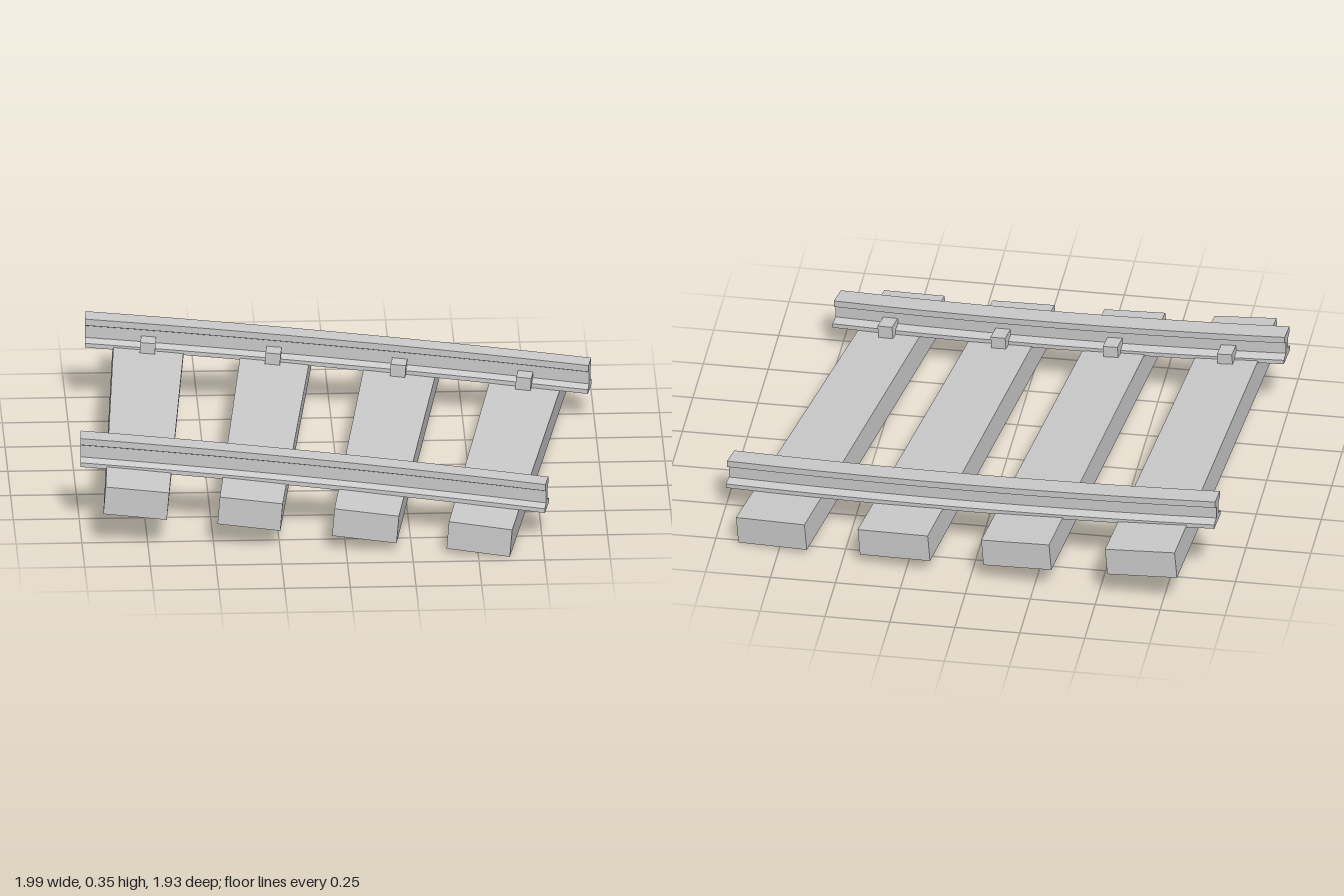
import * as THREE from 'three';

const material = new THREE.MeshStandardMaterial({ color: 0xcccccc, flatShading: true });

// Rail centre lines: end points [x, z], bowed towards -z, falling towards +x
const RAILS = {
  front: { a: [-0.995, 0.515], b: [0.77, 0.725], side: 1, pegX: [-0.77, -0.325, 0.115, 0.56] },
  back: { a: [-0.925, -0.715], b: [0.985, -0.495], side: -1, pegX: [-0.69, -0.215, 0.26, 0.735] },
};
const SAG = 0.026;

function railPoint({ a, b }, t) {
  const dx = b[0] - a[0];
  const dz = b[1] - a[1] - SAG * 4 * (1 - 2 * t);
  return {
    x: a[0] + dx * t,
    y: 0.24 - 0.135 * t,
    z: a[1] + (b[1] - a[1]) * t - SAG * 4 * t * (1 - t),
    angle: Math.atan2(dz, dx),
    slope: -0.135 / dx,
  };
}

// I-section swept along a bowed line
function makeRail(rail) {
  const half = [[0.056, 0], [0.056, 0.017], [0.02, 0.027], [0.02, 0.075], [0.041, 0.084], [0.041, 0.11]];
  const outline = [...half, ...half.map(([x, y]) => [-x, y]).reverse()];
  const shape = new THREE.Shape(outline.map(([x, y]) => new THREE.Vector2(x, y)));
  const geo = new THREE.ExtrudeGeometry(shape, { depth: 1, steps: 10, bevelEnabled: false });
  const pos = geo.attributes.position;
  for (let i = 0; i < pos.count; i++) {
    const u = pos.getX(i);
    const p = railPoint(rail, pos.getZ(i));
    pos.setXYZ(i, p.x + u * Math.sin(p.angle), p.y + pos.getY(i), p.z - u * Math.cos(p.angle));
  }
  geo.computeVertexNormals();
  return new THREE.Mesh(geo, material);
}

// Tapered, tilted beam from its plan corners: back left, back right, front right, front left
function makeSleeper([bl, br, fr, fl], base) {
  const geo = new THREE.BoxGeometry(1, 1, 1);
  const pos = geo.attributes.position;
  for (let i = 0; i < pos.count; i++) {
    const right = pos.getX(i) > 0;
    const top = pos.getY(i) > 0;
    const front = pos.getZ(i) > 0;
    const [x, z] = front ? (right ? fr : fl) : (right ? br : bl);
    const lean = right ? (top ? 0 : -0.009) : (top ? 0.009 : 0);
    pos.setXYZ(i, x + lean, base + (right ? 0 : 0.022) + (top ? 0.11 : 0), z);
  }
  geo.computeVertexNormals();
  return new THREE.Mesh(geo, material);
}

export function createModel() {
  const model = new THREE.Group();
  model.name = 'curvedTrackSection';

  // Sleepers, fanned around the curve and stepping down
  const plans = [
    [[-0.81, -0.97], [-0.53, -0.95], [-0.67, 0.8], [-0.92, 0.785]],
    [[-0.32, -0.93], [-0.045, -0.9], [-0.24, 0.84], [-0.487, 0.815]],
    [[0.155, -0.88], [0.44, -0.84], [0.2, 0.895], [-0.053, 0.863]],
    [[0.64, -0.815], [0.92, -0.767], [0.628, 0.962], [0.38, 0.922]],
  ];
  plans.forEach((plan, i) => {
    const sleeper = makeSleeper(plan, 0.109 - i * 0.0363);
    sleeper.name = `sleeper${i + 1}`;
    model.add(sleeper);
  });

  for (const [name, rail] of Object.entries(RAILS)) {
    const mesh = makeRail(rail);
    mesh.name = `${name}Rail`;
    model.add(mesh);

    // Fixing blocks on the inner foot of the rail
    rail.pegX.forEach((x, i) => {
      const p = railPoint(rail, (x - rail.a[0]) / (rail.b[0] - rail.a[0]));
      const block = new THREE.Mesh(new THREE.BoxGeometry(0.058, 0.05, 0.07), material);
      const offset = 0.055 * rail.side;
      block.position.set(x, p.y + 0.025, p.z - offset * Math.cos(p.angle));
      block.rotation.set(0, -p.angle, Math.atan(p.slope), 'YXZ');
      block.name = `${name}FixingBlock${i + 1}`;
      model.add(block);
    });
  }
  return model;
}
